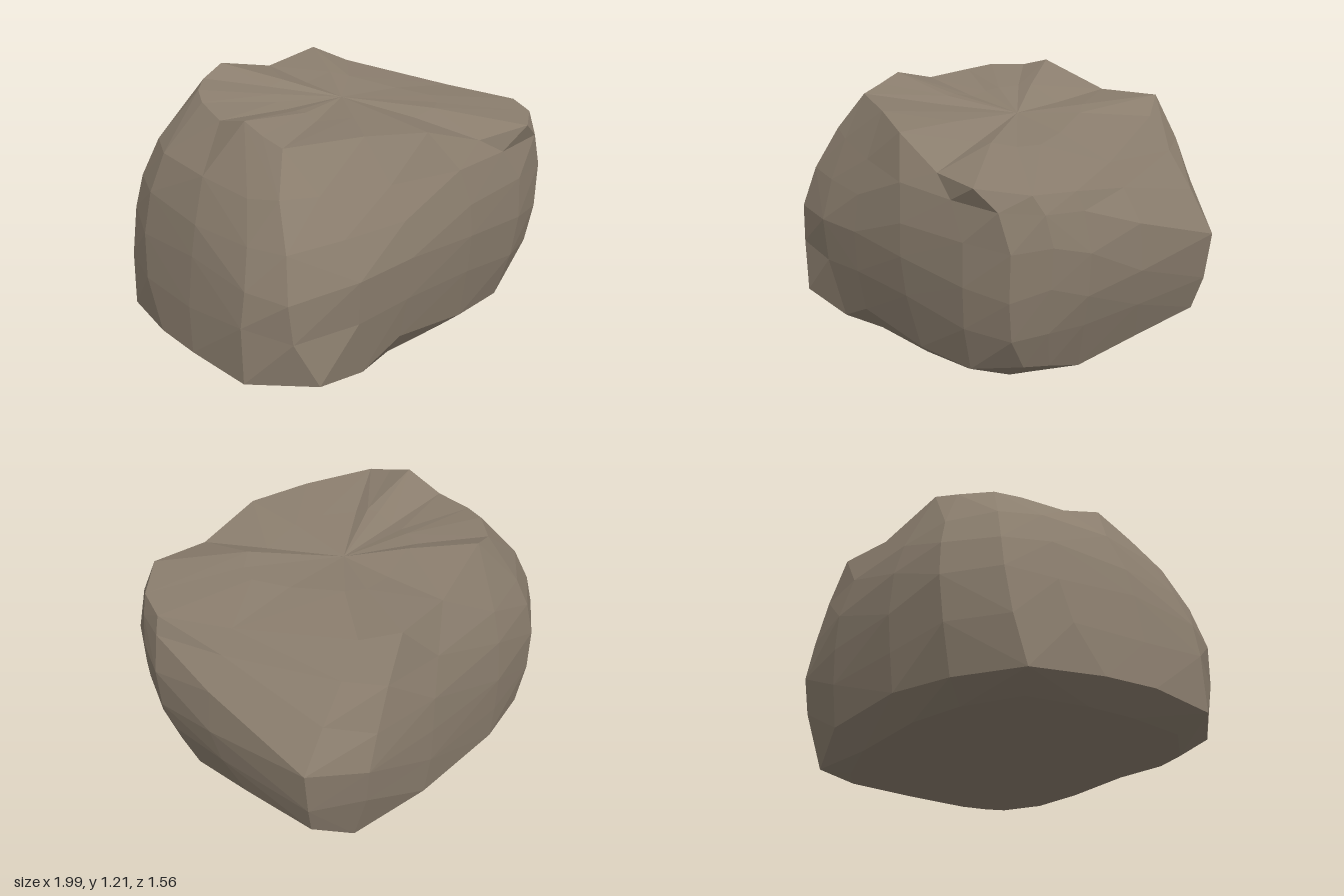
import * as THREE from 'three';

// widest outline of the rock seen from above, as [x, z]
const OUTLINE = [
  [1, 0], [1, 0.34], [0.93, 0.5], [0.82, 0.65], [0.6, 0.735], [0.2, 0.785],
  [-0.2, 0.78], [-0.52, 0.77], [-0.87, 0.67], [-0.97, 0.48], [-1, 0.1], [-0.98, -0.33],
  [-0.89, -0.56], [-0.62, -0.73], [-0.25, -0.78], [0.3, -0.785], [0.72, -0.745], [0.955, -0.56],
];

// lower edge where the sides turn under, one [x, y, z] for each outline point
const FOOT = [
  [0.87, 0.14, -0.1], [0.85, 0.1, 0.26], [0.82, 0.14, 0.42], [0.77, 0.15, 0.53], [0.54, 0.09, 0.65], [0.23, 0.1, 0.7],
  [-0.2, 0.15, 0.72], [-0.42, 0.03, 0.7], [-0.71, 0.09, 0.74], [-0.96, 0.09, 0.5], [-1, 0.11, 0.15], [-0.99, 0.1, -0.13],
  [-0.92, 0.08, -0.49], [-0.6, 0.1, -0.67], [-0.25, 0.13, -0.75], [0.3, 0.14, -0.75], [0.68, 0.06, -0.63], [0.86, 0.155, -0.52],
];

// uneven upper edge
const RIM = [
  [0.78, 1.02, 0.02], [0.92, 1.0, 0.37], [0.84, 1.0, 0.55], [0.64, 1.015, 0.71], [0.34, 1.0, 0.67], [0.02, 1.11, 0.64],
  [-0.27, 1.13, 0.53], [-0.63, 1.12, 0.39], [-0.65, 1.15, 0.27], [-0.66, 1.19, 0.15], [-0.65, 1.13, -0.06], [-0.6, 1.15, -0.28],
  [-0.54, 1.17, -0.4], [-0.42, 1.17, -0.53], [-0.28, 1.215, -0.57], [0.08, 1.11, -0.64], [0.42, 1.14, -0.68], [0.53, 1.08, -0.52],
];

// how each column bends in to the rim: 1 is a straight slope, more is a squarer shoulder
const SHOULDER = [2.2, 4, 5, 5, 4, 3, 1.7, 1.4, 1.7, 1.6, 2.5, 2.5, 2, 2, 2, 2.5, 1.2, 1];

// side levels: height, left and right reach, pull towards the foot
const LEVELS = [
  { y: 0.34, left: 0.985, right: 0.97, foot: 0.25 },
  { y: 0.55, left: 0.955, right: 0.985, foot: 0 },
  { y: 0.75, left: 0.935, right: 1, foot: 0 },
  { y: 0.92, left: 0.92, right: 0.99, foot: 0 },
];

function seeded(seed) {
  return () => {
    seed = (seed * 16807) % 2147483647;
    return (seed / 2147483647) * 2 - 1;
  };
}

const mix = (a, b, t) => a + (b - a) * t;

function rockGeometry() {
  const n = OUTLINE.length;
  const rand = seeded(4711);

  // underside centre, flat base and lower edge
  const rings = [
    OUTLINE.map(() => [-0.06, 0.005, 0.02]),
    FOOT.map(([x, y, z]) => [x * 0.82 - 0.03, 0.01 + (y - 0.03) * 0.08, z * 0.86 + 0.01]),
    FOOT,
  ];

  // sides, slightly uneven
  for (const l of LEVELS) {
    rings.push(OUTLINE.map(([x, z], i) => {
      const [rx, ry, rz] = RIM[i];
      const rise = Math.max(0, (l.y - 0.55) / (ry - 0.55));
      const pull = rise ** SHOULDER[i];
      const sx = mix(x * (x < 0 ? l.left : l.right), FOOT[i][0], l.foot);
      const sz = mix(z, FOOT[i][2], l.foot);
      const chip = 1 - Math.max(0, rand()) * 0.01;
      return [
        mix(sx, rx, pull) * chip,
        l.y + rand() * 0.04 * (1 - rise),
        mix(sz, rz, pull) * chip,
      ];
    }));
  }

  // rim, gently dented upper face and its centre
  rings.push(RIM);
  rings.push(RIM.map(([x, y, z]) => [
    x * 0.5 + 0.04 + rand() * 0.02, 1.1 + (y - 1.1) * 0.4 + rand() * 0.012, z * 0.5 + rand() * 0.02,
  ]));
  rings.push(RIM.map(() => [0.08, 1.09, -0.04]));

  // skin the rings, splitting each four-sided patch along its outward diagonal
  const points = rings.flat().map((p) => new THREE.Vector3(...p));
  const index = [];
  const normal = new THREE.Vector3();
  const edge = new THREE.Vector3();
  for (let k = 0; k < rings.length - 1; k++) {
    for (let i = 0; i < n; i++) {
      const j = (i + 1) % n;
      const a = k * n + i, b = k * n + j, c = a + n, d = b + n;
      if (k === 0) index.push(a, c, d);
      else if (k === rings.length - 2) index.push(a, c, b);
      else {
        normal.subVectors(points[c], points[a]).cross(edge.subVectors(points[b], points[a]));
        const bulges = normal.dot(edge.subVectors(points[d], points[a])) < 0;
        if (bulges) index.push(a, c, b, b, c, d);
        else index.push(a, c, d, a, d, b);
      }
    }
  }
  const geometry = new THREE.BufferGeometry().setFromPoints(points);
  geometry.setIndex(index);
  const flat = geometry.toNonIndexed();
  flat.computeVertexNormals();
  return flat;
}

export function createModel() {
  const group = new THREE.Group();
  group.name = 'rock';
  const stone = new THREE.MeshStandardMaterial({ color: 0x8b7e6e, flatShading: true });
  stone.name = 'brownStone';
  const boulder = new THREE.Mesh(rockGeometry(), stone);
  boulder.name = 'boulder';
  group.add(boulder);
  return group;
}
